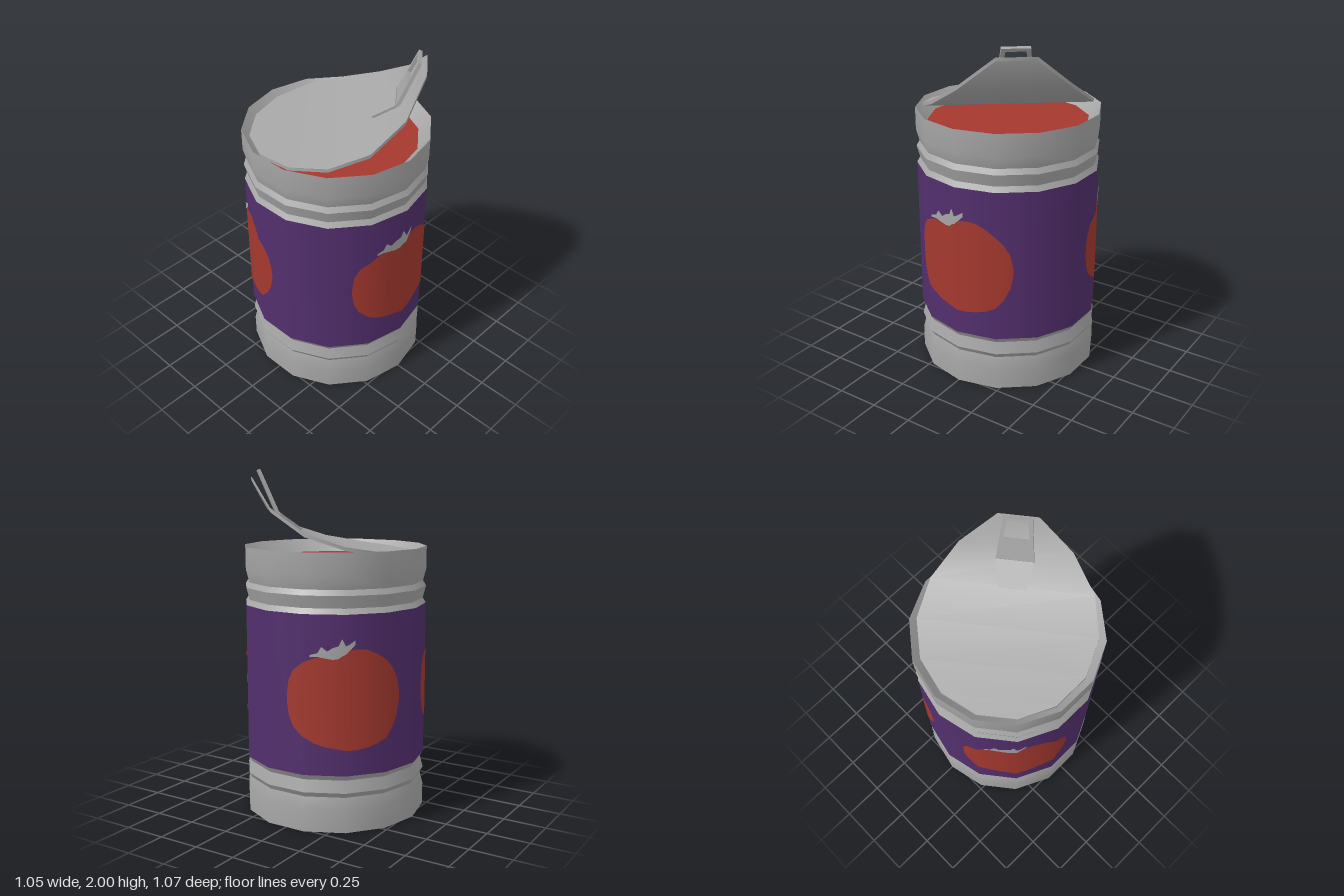
import * as THREE from 'three';
import { toCreasedNormals } from 'three/addons/utils/BufferGeometryUtils.js';

const SIDES = 14;
const R = 0.533;
const FACET = (Math.PI * 2) / SIDES;

const metal = new THREE.MeshStandardMaterial({ color: 0xa6a6a6 });
metal.name = 'metalGrey';
const purple = new THREE.MeshStandardMaterial({ color: 0x532f6e });
purple.name = 'labelPurple';
const red = new THREE.MeshStandardMaterial({ color: 0xa5392f });
red.name = 'tomatoRed';

function part(name, geometry, material) {
  const mesh = new THREE.Mesh(geometry, material);
  mesh.name = name;
  return mesh;
}

// One turned band of the can, smooth around and along its profile
function band(name, profile, material = metal) {
  const pts = profile.map(([r, y]) => new THREE.Vector2(r, y));
  return part(name, new THREE.LatheGeometry(pts, SIDES), material);
}

// Thin printed patch that follows the facets; columns are [facets from centre, bottom, top]
function decal(name, columns, lift, material) {
  const pos = [], nor = [], idx = [];
  columns.forEach(([u, bottom, top], i) => {
    const k = Math.floor(u), t = u - k;
    const a = k * FACET, b = (k + 1) * FACET, r = R + lift;
    const x = r * (Math.sin(a) * (1 - t) + Math.sin(b) * t);
    const z = r * (Math.cos(a) * (1 - t) + Math.cos(b) * t);
    for (const y of [bottom, top]) {
      pos.push(x, y, z);
      nor.push(Math.sin(u * FACET), 0, Math.cos(u * FACET));
    }
    if (i > 0) {
      const n = 2 * i;
      idx.push(n - 2, n, n + 1, n - 2, n + 1, n - 1);
    }
  });
  const g = new THREE.BufferGeometry();
  g.setAttribute('position', new THREE.Float32BufferAttribute(pos, 3));
  g.setAttribute('normal', new THREE.Float32BufferAttribute(nor, 3));
  g.setIndex(idx);
  return part(name, g, material);
}

// Bent lid: rows of a 14-sided disc, each lifted to its own height
function lidGeometry() {
  const heights = [1.95, 1.78, 1.655, 1.585, 1.55, 1.53, 1.522];
  const r = 0.49, thick = 0.02, pos = [], idx = [];
  heights.forEach((y, k) => {
    const a = (k + 0.5) * FACET;
    const x = r * Math.sin(a), z = r * Math.cos(a);
    pos.push(-x, y, z, x, y, z, x, y - thick, z, -x, y - thick, z);
    if (k > 0) {
      const p = 4 * (k - 1), q = 4 * k;
      for (let j = 0; j < 4; j++) {
        const m = (j + 1) % 4;
        idx.push(p + j, p + m, q + m, p + j, q + m, q + j);
      }
    }
  });
  const e = 4 * (heights.length - 1);
  idx.push(0, 3, 2, 0, 2, 1, e, e + 1, e + 2, e, e + 2, e + 3);
  // Reverse the winding so that the faces point outward
  for (let i = 0; i < idx.length; i += 3) [idx[i + 1], idx[i + 2]] = [idx[i + 2], idx[i + 1]];
  const g = new THREE.BufferGeometry();
  g.setAttribute('position', new THREE.Float32BufferAttribute(pos, 3));
  g.setIndex(idx);
  fixWinding(g);
  return toCreasedNormals(g, 0.6);
}

// Flip all faces if the closed surface is inside out
function fixWinding(g) {
  const p = g.attributes.position, ix = g.index.array;
  const [a, b, c] = [0, 1, 2].map(() => new THREE.Vector3());
  let volume = 0;
  for (let i = 0; i < ix.length; i += 3) {
    a.fromBufferAttribute(p, ix[i]);
    b.fromBufferAttribute(p, ix[i + 1]);
    c.fromBufferAttribute(p, ix[i + 2]);
    volume += a.dot(b.cross(c));
  }
  if (volume < 0) {
    for (let i = 0; i < ix.length; i += 3) [ix[i + 1], ix[i + 2]] = [ix[i + 2], ix[i + 1]];
  }
}

// Tapered plate running from (y0, z0) to (y1, z1), with an optional tapered slot
function plate(name, [y0, z0], [y1, z1], w0, w1, slot) {
  const len = Math.hypot(y1 - y0, z1 - z0);
  const taper = (lo, hi, a, b) =>
    [[-a, lo], [a, lo], [b, hi], [-b, hi]].map(([x, y]) => new THREE.Vector2(x, y));
  const shape = new THREE.Shape(taper(0, len, w0, w1));
  if (slot) shape.holes.push(new THREE.Path(taper(slot[0] * len, slot[1] * len, slot[2], slot[3])));
  const mesh = part(name, new THREE.ExtrudeGeometry(shape, { depth: 0.02, bevelEnabled: false }), metal);
  mesh.position.set(0, y0, z0);
  mesh.rotation.x = Math.atan2(z1 - z0, y1 - y0);
  return mesh;
}

export function createModel() {
  const model = new THREE.Group();
  model.name = 'openTomatoCan';
  const N = 0.515; // radius in the grooves

  // Can body, bottom to top
  model.add(
    band('base', [[0, 0], [R, 0]]),
    band('lowerWall', [[R, 0], [R, 0.13], [N, 0.2]]),
    band('lowerRidgeUnder', [[N, 0.2], [R, 0.23]]),
    band('lowerRidgeOver', [[R, 0.23], [N, 0.3]]),
    band('labelSeatLower', [[N, 0.3], [R, 0.33]]),
    band('label', [[R, 0.33], [R, 1.23]], purple),
    band('labelSeatUpper', [[R, 1.23], [N, 1.26]]),
    band('upperRidgeUnder', [[N, 1.26], [R, 1.33]]),
    band('upperRidgeOver', [[R, 1.33], [N, 1.36]]),
    band('upperWall', [[N, 1.36], [R, 1.43], [R, 1.56]]),
    band('innerRim', [[R, 1.56], [0.465, 1.485]]),
    band('soup', [[0.465, 1.485], [0, 1.485]], red)
  );

  // Three printed tomatoes with leafy stems
  const fruit = [
    [-1.425, 0.73, 0.79], [-1.38, 0.66, 0.86], [-1.25, 0.595, 0.92], [-1, 0.55, 0.965],
    [-0.75, 0.515, 0.99], [-0.5, 0.495, 1.0], [0, 0.477, 1.035], [0.25, 0.475, 1.04],
    [0.5, 0.483, 1.035], [0.75, 0.5, 1.01], [1, 0.53, 0.97], [1.2, 0.58, 0.92],
    [1.35, 0.65, 0.86], [1.425, 0.73, 0.78]
  ];
  const stem = [
    [-0.82, 0.997, 1.01], [-0.65, 1.0, 1.02], [-0.56, 0.995, 1.055], [-0.43, 0.99, 1.03],
    [-0.3, 0.985, 1.05], [-0.17, 0.99, 1.06], [-0.09, 1.005, 1.1], [0, 1.015, 1.06],
    [0.09, 1.035, 1.07], [0.22, 1.065, 1.09]
  ];
  for (const step of [0, 5, -5]) {
    const print = new THREE.Group();
    print.name = 'tomatoPrint';
    print.add(decal('tomato', fruit, 0.003, red), decal('tomatoStem', stem, 0.006, metal));
    print.rotation.y = step * FACET;
    model.add(print);
  }

  // Peeled lid with its pull tab, lifted between two corners of the rim
  const lid = new THREE.Group();
  lid.name = 'lid';
  lid.rotation.y = 1.5 * FACET;
  lid.add(
    part('lidPanel', lidGeometry(), metal),
    plate('tabFoot', [1.66, 0.195], [1.75, 0.32], 0.077, 0.103),
    plate('tabRing', [1.74, 0.32], [1.995, 0.43], 0.103, 0.077, [0.5, 0.93, 0.07, 0.054])
  );
  model.add(lid);
  return model;
}
